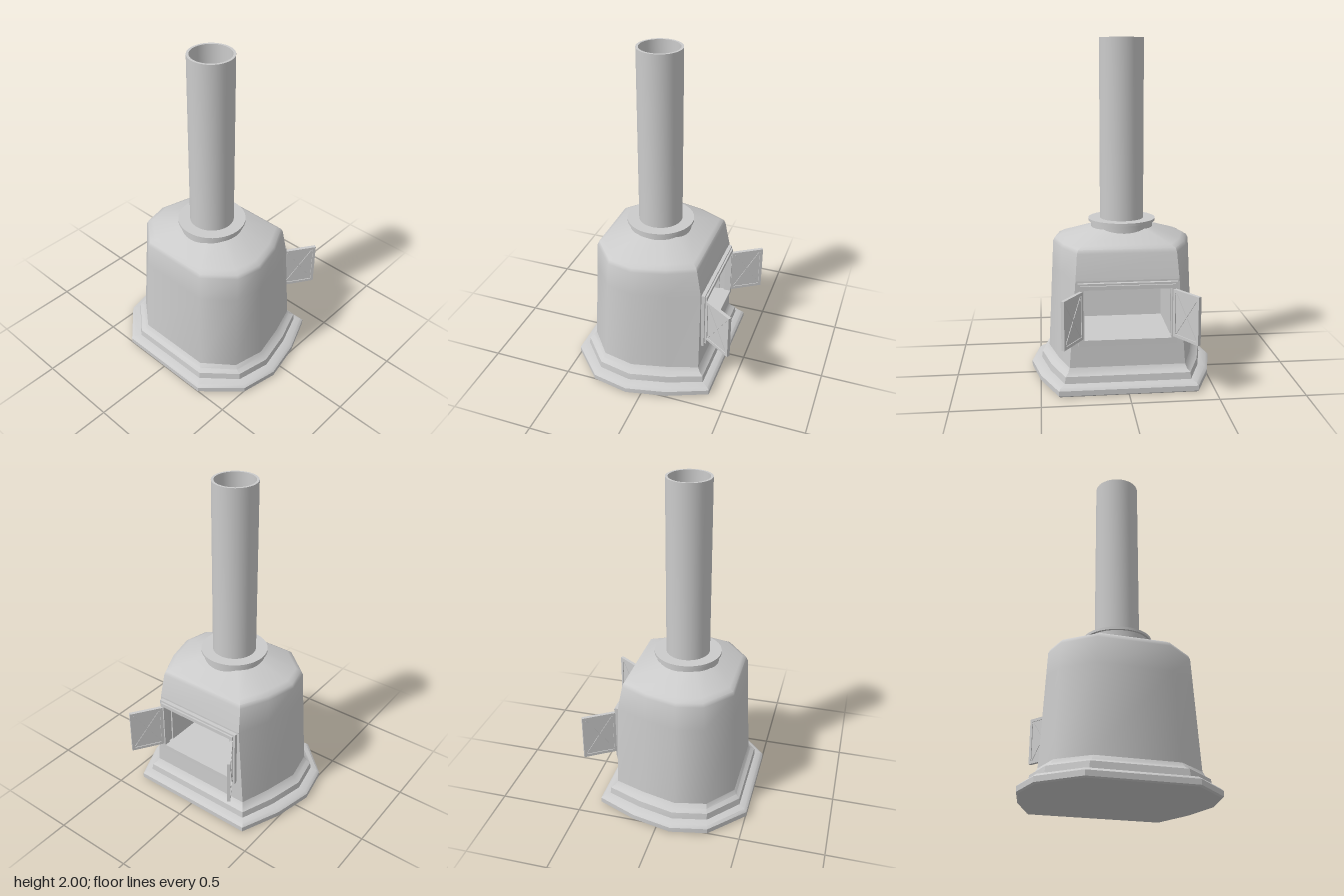
import * as THREE from 'three';
import { toCreasedNormals } from 'three/addons/utils/BufferGeometryUtils.js';

const grey = new THREE.MeshStandardMaterial({ color: 0xcccccc });
const grey2 = new THREE.MeshStandardMaterial({ color: 0xcccccc, side: THREE.DoubleSide });
const FLUE_X = -0.06;

// Half outlines [x, z], from the door corner round to the rear corner
const FOOT = [[0.39, 0.40], [0.15, 0.50], [-0.09, 0.552], [-0.31, 0.508], [-0.505, 0.30]];
const WAIST = [[0.30, 0.335], [0.12, 0.395], [-0.09, 0.445], [-0.28, 0.405], [-0.415, 0.235]];
const SHOULDER = [[0.265, 0.285], [0.10, 0.365], [-0.09, 0.412], [-0.245, 0.378], [-0.387, 0.21]];

const mix = (a, b, t) => a.map((p, i) => p.map((v, k) => v + (b[i][k] - v) * t));
const shrink = (a, s) => a.map(([x, z]) => [FLUE_X + (x - FLUE_X) * s, z * s]);

// Mirror a half outline into a full ring at height y
function ring(y, half) {
  const back = [...half].reverse().map(([x, z]) => [x, -z]);
  return [...half, ...back].map(([x, z]) => new THREE.Vector3(x, y, z));
}

// Skin between rings; skip(row, column) leaves a face open
function loft(rings, crease, { cap = false, skip = () => false } = {}) {
  const pos = [];
  const tri = (...v) => v.forEach(p => pos.push(p.x, p.y, p.z));
  const n = rings[0].length;
  for (let j = 0; j < n; j++) {
    const k = (j + 1) % n;
    for (let i = 0; i < rings.length - 1; i++) {
      if (skip(i, j)) continue;
      const a = rings[i][j], b = rings[i][k], c = rings[i + 1][j], d = rings[i + 1][k];
      tri(a, c, b);
      tri(b, c, d);
    }
    if (cap) tri(new THREE.Vector3(0, rings[0][0].y, 0), rings[0][j], rings[0][k]);
  }
  const g = new THREE.BufferGeometry();
  g.setAttribute('position', new THREE.Float32BufferAttribute(pos, 3));
  return toCreasedNormals(g, crease);
}

function add(parent, name, geometry, x = 0, y = 0, z = 0, material = grey) {
  const m = new THREE.Mesh(geometry, material);
  m.name = name;
  m.position.set(x, y, z);
  parent.add(m);
  return m;
}

const polygon = pts => new THREE.Shape(pts.map(p => new THREE.Vector2(...p)));
const rect = (w, y0, y1) => [[-w, y0], [w, y0], [w, y1], [-w, y1]];

function lathe(points, sides, crease = 0.6) {
  const g = new THREE.LatheGeometry(points.map(p => new THREE.Vector2(...p)), sides);
  return toCreasedNormals(g, crease);
}

// Rectangular frame facing +x
function frame(w, y0, y1, depth) {
  const s = polygon(rect(w, y0, y1));
  s.holes.push(polygon(rect(0.25, 0.31, 0.605)));
  return new THREE.ExtrudeGeometry(s, { depth, bevelEnabled: false }).rotateY(Math.PI / 2);
}

// Door panel with raised border and cross braces on both faces
function door(name) {
  const g = new THREE.Group();
  g.name = name;
  const w = 0.205, h = 0.28, b = 0.018, t = 0.02;
  add(g, 'doorPanel', new THREE.BoxGeometry(w, h, 0.01), w / 2);
  for (const s of [-1, 1]) {
    add(g, 'doorRail', new THREE.BoxGeometry(w, b, t), w / 2, s * (h - b) / 2);
    add(g, 'doorStile', new THREE.BoxGeometry(b, h - 2 * b, t), w / 2 + s * (w - b) / 2);
    const brace = new THREE.BoxGeometry(Math.hypot(w - 2 * b, h - 2 * b) - 0.01, 0.01, 0.017);
    add(g, 'doorBrace', brace, w / 2).rotation.z = s * Math.atan2(h - 2 * b, w - 2 * b);
  }
  return g;
}

export function createModel() {
  const stove = new THREE.Group();
  stove.name = 'stove';

  // Stepped plinth
  const steps = [[0, 0.1], [0.008, 0], [0.038, 0], [0.052, 0.15], [0.06, 0.55], [0.1, 0.6], [0.115, 0.85], [0.14, 1]];
  add(stove, 'plinth', loft(steps.map(([y, t]) => ring(y, mix(FOOT, WAIST, t))), 0.6, { cap: true }));

  // Tapered body with rounded shoulders, left open behind the door
  const lintel = mix(WAIST, SHOULDER, 0.77);
  lintel[0][0] = 0.293;
  const rings = [
    ring(0.14, WAIST), ring(0.65, lintel), ring(0.8, SHOULDER),
    ring(0.822, shrink(SHOULDER, 0.975)), ring(0.838, shrink(SHOULDER, 0.9)),
    ring(0.9, shrink(SHOULDER, 0.42)),
  ];
  add(stove, 'body', loft(rings, 0.85, { skip: (i, j) => i === 0 && j === 9 }), 0, 0, 0, grey2);

  // Door wall with its opening, leaning with the body
  const wall = polygon([[-0.335, 0.14], [0.335, 0.14], [lintel[0][1], 0.65], [-lintel[0][1], 0.65]]);
  wall.holes.push(polygon(rect(0.25, 0.31, 0.605)));
  const wallGeo = new THREE.ShapeGeometry(wall).rotateY(Math.PI / 2);
  const p = wallGeo.attributes.position;
  for (let i = 0; i < p.count; i++) p.setX(i, 0.30 - 0.007 * (p.getY(i) - 0.14) / 0.51);
  wallGeo.computeVertexNormals();
  add(stove, 'doorWall', wallGeo, 0, 0, 0, grey2);

  // Firebox: floor, side walls and sloping rear block
  add(stove, 'fireboxFloor', new THREE.BoxGeometry(0.4, 0.02, 0.52), 0.09, 0.3, 0);
  for (const s of [-1, 1]) {
    add(stove, 'fireboxSide', new THREE.BoxGeometry(0.36, 0.45, 0.01), 0.07, 0.525, s * 0.256);
  }
  const rear = polygon([[-0.32, 0.2], [-0.1, 0.2], [-0.1, 0.31], [-0.14, 0.7], [-0.32, 0.7]]);
  add(stove, 'fireboxBack', new THREE.ExtrudeGeometry(rear, { depth: 0.52, bevelEnabled: false }), 0, 0, -0.26);

  // Stepped door frame
  add(stove, 'doorFrame', frame(0.285, 0.27, 0.64, 0.03), 0.285);
  add(stove, 'doorFrameRim', frame(0.272, 0.285, 0.628, 0.01), 0.315);

  // Pair of doors standing open
  for (const s of [-1, 1]) {
    const d = door(s > 0 ? 'rightDoor' : 'leftDoor');
    d.position.set(0.322, 0.46, s * 0.264);
    d.rotation.y = -s * 0.58;
    stove.add(d);
  }

  // Flue collar with flange
  const collar = [[0.185, 0.86], [0.185, 0.928], [0.2, 0.928], [0.2, 0.943], [0.12, 0.943]];
  add(stove, 'flueCollar', lathe(collar, 40), FLUE_X, 0, 0, grey2);

  // Hollow chimney pipe
  const pipe = [[0.13, 0.88], [0.13, 2], [0.116, 2], [0.116, 0.88], [0.13, 0.88]];
  add(stove, 'chimney', lathe(pipe, 40), FLUE_X);

  return stove;
}
